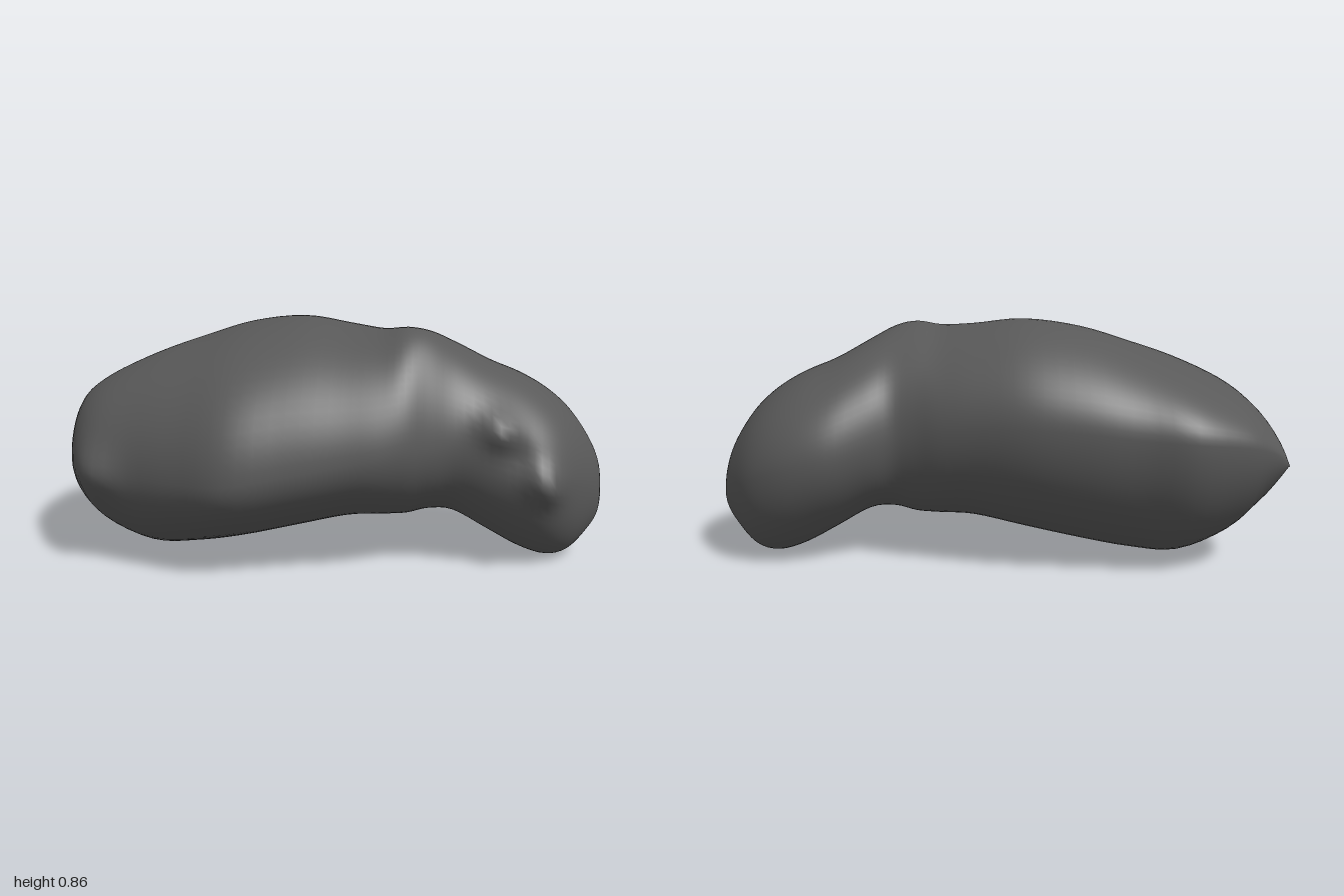
import * as THREE from 'three';

// Cross-sections along the body: x, top y, bottom y, back z, front z, widest y at back, widest y at front
const SECTIONS = [
  [-1.00, 0.38, 0.38, -0.35, -0.25, 0.38, 0.38],
  [-0.97, 0.49, 0.28, -0.385, 0.02, 0.41, 0.37],
  [-0.92, 0.57, 0.18, -0.42, 0.20, 0.44, 0.36],
  [-0.82, 0.645, 0.08, -0.485, 0.33, 0.47, 0.36],
  [-0.65, 0.725, 0.01, -0.54, 0.41, 0.49, 0.35],
  [-0.48, 0.785, 0.02, -0.515, 0.48, 0.50, 0.35],
  [-0.30, 0.84, 0.055, -0.505, 0.54, 0.52, 0.36],
  [-0.10, 0.865, 0.10, -0.475, 0.505, 0.53, 0.39],
  [0.08, 0.845, 0.14, -0.41, 0.465, 0.52, 0.42],
  [0.20, 0.835, 0.145, -0.36, 0.44, 0.50, 0.44],
  [0.29, 0.845, 0.15, -0.315, 0.405, 0.49, 0.46],
  [0.37, 0.83, 0.17, -0.295, 0.355, 0.48, 0.46],
  [0.46, 0.785, 0.165, -0.33, 0.315, 0.45, 0.46],
  [0.58, 0.72, 0.10, -0.37, 0.31, 0.41, 0.43],
  [0.70, 0.67, 0.035, -0.365, 0.31, 0.38, 0.40],
  [0.80, 0.61, 0.005, -0.33, 0.28, 0.35, 0.36],
  [0.88, 0.535, 0.025, -0.27, 0.215, 0.31, 0.32],
  [0.95, 0.43, 0.10, -0.17, 0.12, 0.27, 0.28],
  [0.985, 0.34, 0.16, -0.10, 0.05, 0.24, 0.24],
  [1.00, 0.23, 0.23, -0.03, -0.03, 0.23, 0.23],
];

// Small knobs on the front face: x, y, height, radius
const KNOBS = [
  [0.77, 0.33, 0.065, 0.06],
  [0.61, 0.52, 0.055, 0.06],
  [0.67, 0.43, -0.02, 0.06],
  [-0.81, 0.35, 0.05, 0.09],
];

const SIDES = 72;
const STEPS = 4;

const bell = (d, r) => Math.exp(-(d * d) / (r * r));

function catmull(a, b, c, d, t) {
  const m = (c - a) / 2, n = (d - b) / 2;
  return (2 * b - 2 * c + m + n) * t ** 3 + (3 * c - 3 * b - 2 * m - n) * t * t + m * t + b;
}

function sectionAt(u) {
  const last = SECTIONS.length - 1;
  const i = Math.min(Math.floor(u), last - 1);
  const pick = (k) => SECTIONS[Math.max(0, Math.min(last, k))];
  return SECTIONS[0].map((_, k) =>
    catmull(pick(i - 1)[k], pick(i)[k], pick(i + 1)[k], pick(i + 2)[k], u - i));
}

function bodyGeometry() {
  const positions = [], indices = [];
  const rings = (SECTIONS.length - 1) * STEPS;
  for (let i = 0; i <= rings; i++) {
    const [x, top, bottom, back, front, yBack, yFront] = sectionAt(i / STEPS);
    // The keel stays near z = 0 but moves inside the section at the blunt end
    const keel = Math.max(back * 0.65 + front * 0.35, Math.min(back * 0.35 + front * 0.65, 0));
    // The upper ridge winds: backwards over the trunk, forwards over the neck
    const sway = 0.12 * bell(x - 0.3, 0.17) - 0.08 * bell(x + 0.3, 0.35);
    // The front of the trunk is more wedge-shaped than the round head
    const wedge = 1.06 + 0.17 * (1 - THREE.MathUtils.smoothstep(x, 0.2, 0.5));
    for (let j = 0; j < SIDES; j++) {
      const a = (j / SIDES) * Math.PI * 2;
      const c = Math.cos(a), s = Math.sin(a);
      const mid = THREE.MathUtils.lerp(yBack, yFront, (c + 1) / 2);
      const ridge = keel + sway * Math.max(0, s);
      const reach = Math.pow(Math.abs(c), c > 0 ? wedge : 1.06);
      const y = mid + (s > 0 ? top - mid : mid - bottom) * s;
      let z = ridge + (c > 0 ? front - ridge : back - ridge) * reach;
      if (c > 0) {
        for (const [kx, ky, h, r] of KNOBS) z += h * bell(Math.hypot(x - kx, y - ky), r);
      }
      positions.push(x, y, z);
      if (i < rings) {
        const k = (j + 1) % SIDES;
        const p = i * SIDES + j, q = i * SIDES + k;
        indices.push(p, p + SIDES, q, q, p + SIDES, q + SIDES);
      }
    }
  }
  const geometry = new THREE.BufferGeometry();
  geometry.setAttribute('position', new THREE.Float32BufferAttribute(positions, 3));
  geometry.setIndex(indices);
  geometry.computeVertexNormals();
  return geometry;
}

export function createModel() {
  const group = new THREE.Group();
  group.name = 'asteroid';
  const rock = new THREE.MeshStandardMaterial({ color: 0x595959 });
  rock.name = 'dark grey rock';
  const body = new THREE.Mesh(bodyGeometry(), rock);
  body.name = 'rockBody';
  group.add(body);
  return group;
}
